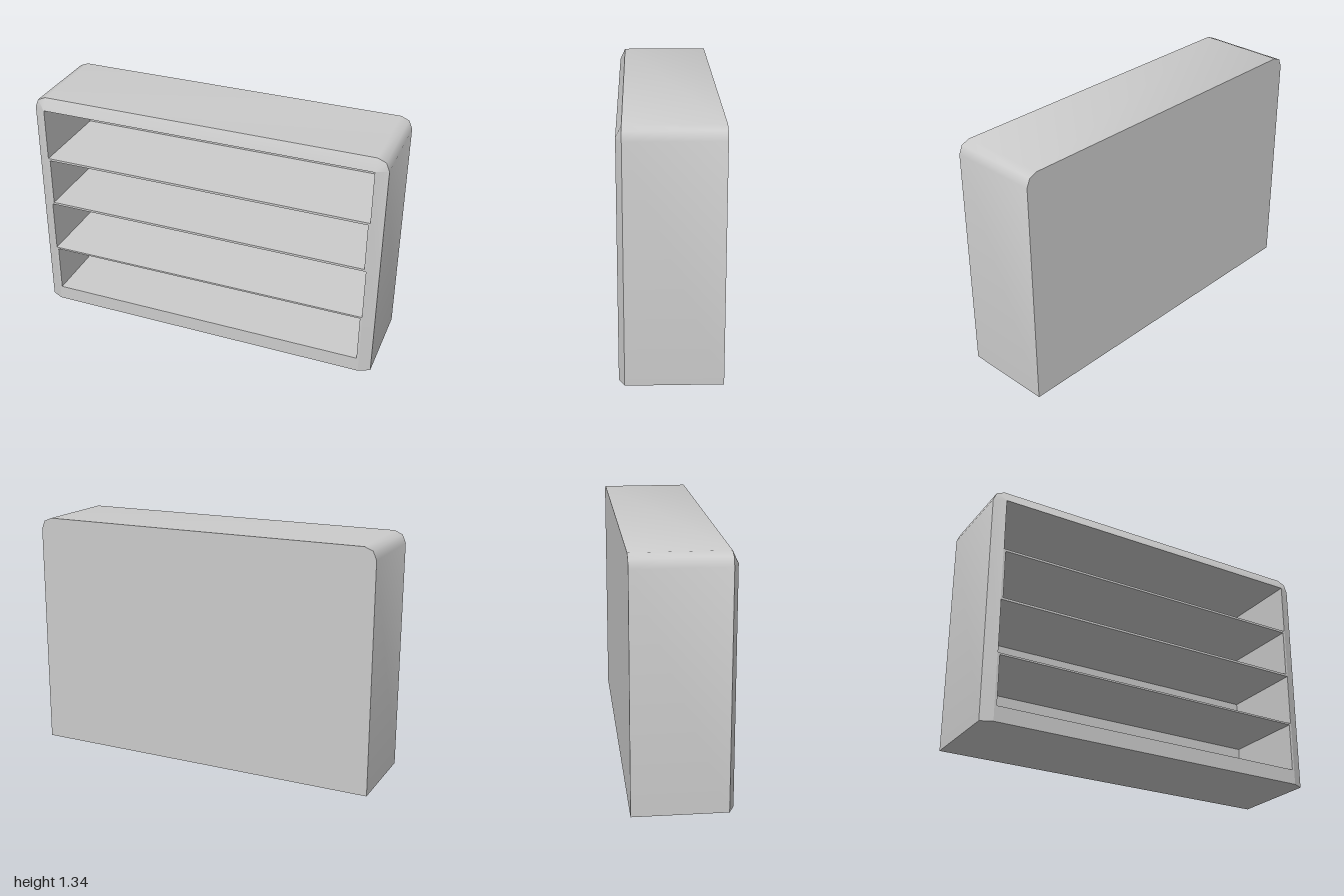
import * as THREE from 'three';
import { mergeVertices, toCreasedNormals } from 'three/addons/utils/BufferGeometryUtils.js';

const HEIGHT = 1.335, BACK = -0.265, EDGE = 0.235, FRONT = 0.265, POCKET_BACK = -0.225;
const material = new THREE.MeshStandardMaterial({ color: 0xcccccc });

// Counter-clockwise cabinet outline: flat foot, two rounded top corners
function outline(inset) {
  const r = 0.065 - inset, x = 0.935, y = HEIGHT - 0.065;
  const pts = [[-1 + inset, 0], [1 - inset, 0]];
  for (const side of [1, -1]) {
    for (let i = 0; i <= 2; i++) {
      const a = (side > 0 ? i : 2 + i) * Math.PI / 4;
      pts.push([side * x + r * Math.cos(a), y + r * Math.sin(a)]);
    }
  }
  return pts;
}

const rectangle = (w, y0, y1) => [[-w, y0], [w, y0], [w, y1], [-w, y1]];

// Skin a series of { pts, z } loops; cap may close the first or last loop
function loft(loops, cap) {
  const n = loops[0].pts.length, pos = [], index = [];
  for (const { pts, z } of loops) for (const [x, y] of pts) pos.push(x, y, z);
  for (let k = 0; k < loops.length - 1; k++) {
    for (let i = 0; i < n; i++) {
      const a = k * n + i, b = k * n + (i + 1) % n;
      index.push(a, b, b + n, a, b + n, a + n);
    }
  }
  const last = (loops.length - 1) * n;
  for (let i = 1; i < n - 1; i++) {
    if (cap === 'first') index.push(0, i + 1, i);
    else index.push(last, last + i, last + i + 1);
  }
  const g = new THREE.BufferGeometry();
  g.setAttribute('position', new THREE.Float32BufferAttribute(pos, 3));
  g.setIndex(index);
  return toCreasedNormals(mergeVertices(g), 0.85);
}

const toVectors = (pts) => pts.map(([x, y]) => new THREE.Vector2(x, y));

export function createModel() {
  const group = new THREE.Group();
  const add = (name, geometry) => {
    const mesh = new THREE.Mesh(geometry, material);
    mesh.name = name;
    group.add(mesh);
  };

  // Closed shell: back panel, sides, top, foot and the bevelled front rim
  const rim = outline(0.064);
  add('cabinetShell', loft([
    { pts: outline(0), z: BACK },
    { pts: outline(0), z: EDGE },
    { pts: rim, z: FRONT },
  ], 'first'));

  // Compartments from the bottom up; every second one flares towards the front
  const face = new THREE.Shape(toVectors(rim));
  for (let i = 0; i < 4; i++) {
    const flare = i % 2 ? 0.01 : 0;
    const y0 = [0.085, 0.38, 0.683, 0.98][i];
    const y1 = [0.36, 0.66, 0.957, 1.258][i];
    const mouth = rectangle(0.923 + flare, y0 - flare, y1 + flare);
    face.holes.push(new THREE.Path(toVectors(mouth)));
    add('compartment' + (i + 1), loft([
      { pts: mouth, z: FRONT },
      { pts: rectangle(0.923, y0, y1), z: POCKET_BACK },
    ], 'last'));
  }

  // Front frame and shelf edges around the openings
  add('frontFrame', new THREE.ShapeGeometry(face).translate(0, 0, FRONT));
  return group;
}
